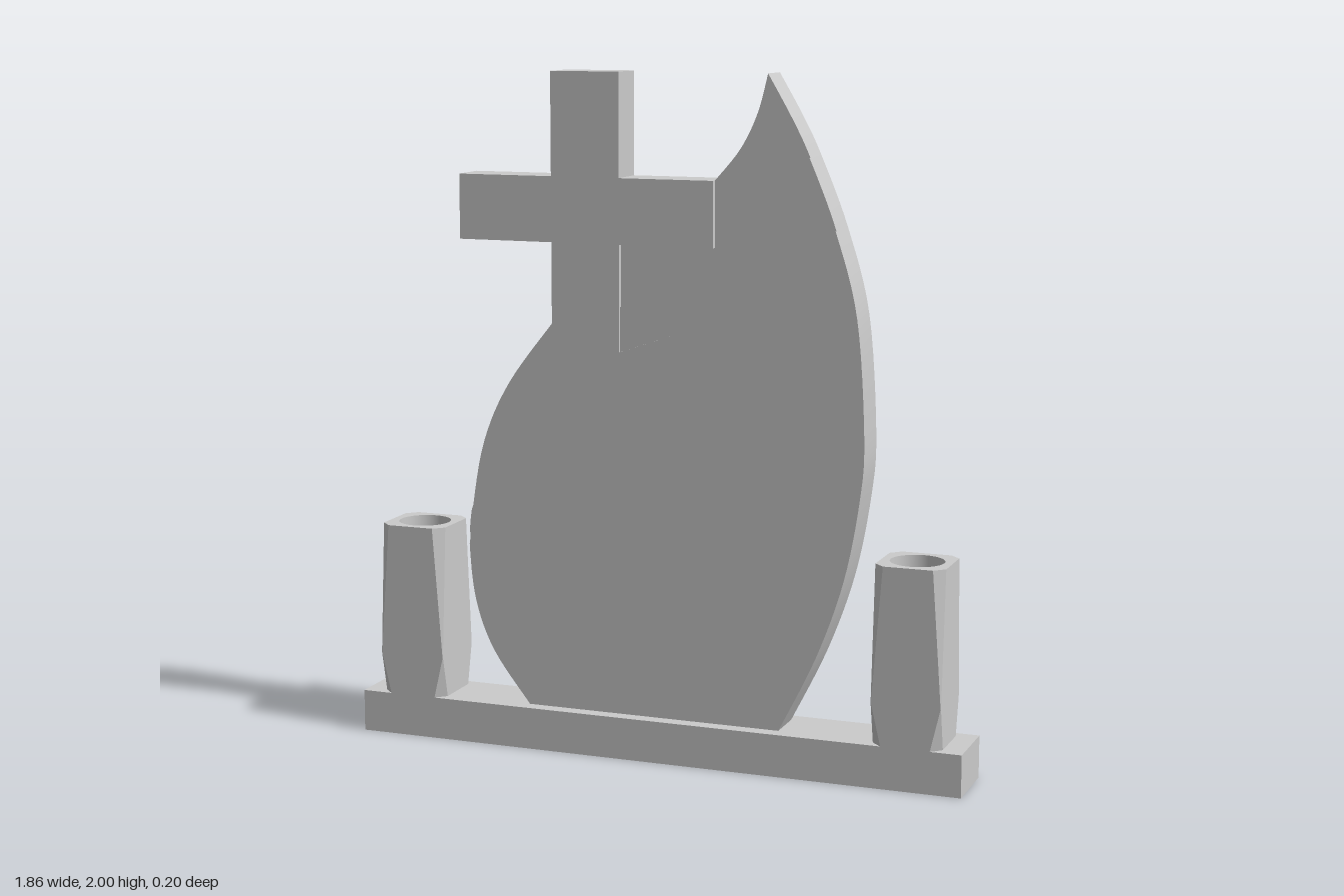
import * as THREE from 'three';
import { toCreasedNormals } from 'three/addons/utils/BufferGeometryUtils.js';

const material = new THREE.MeshStandardMaterial({ color: 0xcccccc });
const doubleSided = new THREE.MeshStandardMaterial({ color: 0xcccccc, side: THREE.DoubleSide });
const STEPS = 6; // samples per spline span

const points = (list) => list.map(([x, y]) => new THREE.Vector2(x, y));
const spline = (list) => new THREE.SplineCurve(points(list)).getPoints((list.length - 1) * STEPS);

function addMesh(parent, name, geometry, mat = material) {
  const mesh = new THREE.Mesh(geometry, mat);
  mesh.name = name;
  parent.add(mesh);
  return mesh;
}

// Flat outline extruded between two depths
function plate(outline, back, front) {
  const geometry = new THREE.ExtrudeGeometry(new THREE.Shape(outline), { depth: front - back, bevelEnabled: false });
  geometry.translate(0, 0, back);
  return toCreasedNormals(geometry, 0.5);
}

// Headstone: full silhouette with two shallow stepped layers on the front
function createHeadstone() {
  const group = new THREE.Group();
  group.name = 'headstone';

  const leftEdge = spline([[-0.4, 0.125], [-0.515, 0.28], [-0.573, 0.43], [-0.592, 0.6], [-0.588, 0.7],
    [-0.548, 0.91], [-0.465, 1.09], [-0.32, 1.28]]);
  const rightEdge = spline([[0.33, 2], [0.4, 1.88], [0.455, 1.77], [0.535, 1.57], [0.6, 1.33],
    [0.625, 1], [0.615, 0.82], [0.57, 0.58], [0.49, 0.35], [0.38, 0.125]]);
  const crossTop = points([[-0.32, 1.51], [-0.61, 1.51], [-0.61, 1.7], [-0.32, 1.7], [-0.32, 2],
    [-0.11, 2], [-0.11, 1.7], [0.175, 1.7]]);
  const crossUnderArm = points([[0.175, 1.51], [-0.11, 1.51]]);
  const flameTip = spline([[0.175, 1.7], [0.25, 1.79], [0.3, 1.89], [0.33, 2]]);

  addMesh(group, 'stoneSlab', plate(
    [...leftEdge, ...crossTop, ...flameTip.slice(1), ...rightEdge.slice(1)], -0.06, 0.044));

  // Sweeping cuts: left and right curves, and where they leave each edge
  const layers = [
    { name: 'middleLayer', leftSpan: 4, rightSpan: 2, back: 0.044, front: 0.052,
      left: [[-0.588, 0.7], [-0.51, 0.92], [-0.42, 1.06], [-0.32, 1.18]],
      right: [[-0.11, 1.33], [0.05, 1.42], [0.17, 1.497], [0.3, 1.595], [0.38, 1.68], [0.455, 1.77]] },
    { name: 'frontLayer', leftSpan: 3, rightSpan: 3, back: 0.052, front: 0.06,
      left: [[-0.592, 0.6], [-0.565, 0.74], [-0.48, 0.9], [-0.32, 1.07]],
      right: [[-0.11, 1.2], [0.06, 1.26], [0.24, 1.335], [0.38, 1.42], [0.47, 1.5], [0.535, 1.57]] },
  ];
  for (const layer of layers) {
    const outline = [
      ...leftEdge.slice(0, layer.leftSpan * STEPS),
      ...spline(layer.left),
      ...crossTop,
      ...crossUnderArm,
      ...spline(layer.right),
      ...rightEdge.slice(layer.rightSpan * STEPS + 1),
    ];
    addMesh(group, layer.name, plate(outline, layer.back, layer.front));
  }
  return group;
}

// Square with cut corners, counterclockwise
function cutSquare(h, c) {
  return points([[h, c - h], [h, h - c], [h - c, h], [c - h, h], [-h, h - c], [-h, c - h], [c - h, -h], [h - c, -h]]);
}

// Vase: square body whose corner cuts vanish at the shoulder, with a round bore
function createVase(name, x) {
  const group = new THREE.Group();
  group.name = name;
  const half = 0.102, top = 0.645, bore = 0.078, depth = 0.4;
  const sections = [[0.125, 0.03], [0.25, 0.001], [top, 0.03]];

  const positions = [], index = [];
  sections.forEach(([y, cut], s) => {
    cutSquare(half, cut).forEach((p, i) => {
      positions.push(p.x, y, -p.y);
      if (s === 0) return;
      const next = (i + 1) % 8, low = (s - 1) * 8, high = s * 8;
      index.push(low + i, low + next, high + next, low + i, high + next, high + i);
    });
  });
  let body = new THREE.BufferGeometry();
  body.setAttribute('position', new THREE.Float32BufferAttribute(positions, 3));
  body.setIndex(index);
  body = body.toNonIndexed();
  body.computeVertexNormals();
  addMesh(group, 'vaseBody', body);

  const rimShape = new THREE.Shape(cutSquare(half, 0.03));
  rimShape.holes.push(new THREE.Path().absarc(0, 0, bore, 0, Math.PI * 2, true));
  const rim = new THREE.ShapeGeometry(rimShape, 24).rotateX(-Math.PI / 2).translate(0, top, 0);
  addMesh(group, 'vaseRim', rim);

  const wall = new THREE.CylinderGeometry(bore, bore, depth, 48, 1, true).translate(0, top - depth / 2, 0);
  addMesh(group, 'vaseBore', wall, doubleSided);
  const floor = new THREE.CircleGeometry(bore, 48).rotateX(-Math.PI / 2).translate(0, top - depth, 0);
  addMesh(group, 'vaseFloor', floor);

  group.position.x = x;
  return group;
}

export function createModel() {
  const model = new THREE.Group();
  model.name = 'memorial';
  addMesh(model, 'base', new THREE.BoxGeometry(1.864, 0.125, 0.204).translate(0, 0.0625, 0));
  model.add(createHeadstone());
  model.add(createVase('leftVase', 0.768), createVase('rightVase', -0.768));
  return model;
}
